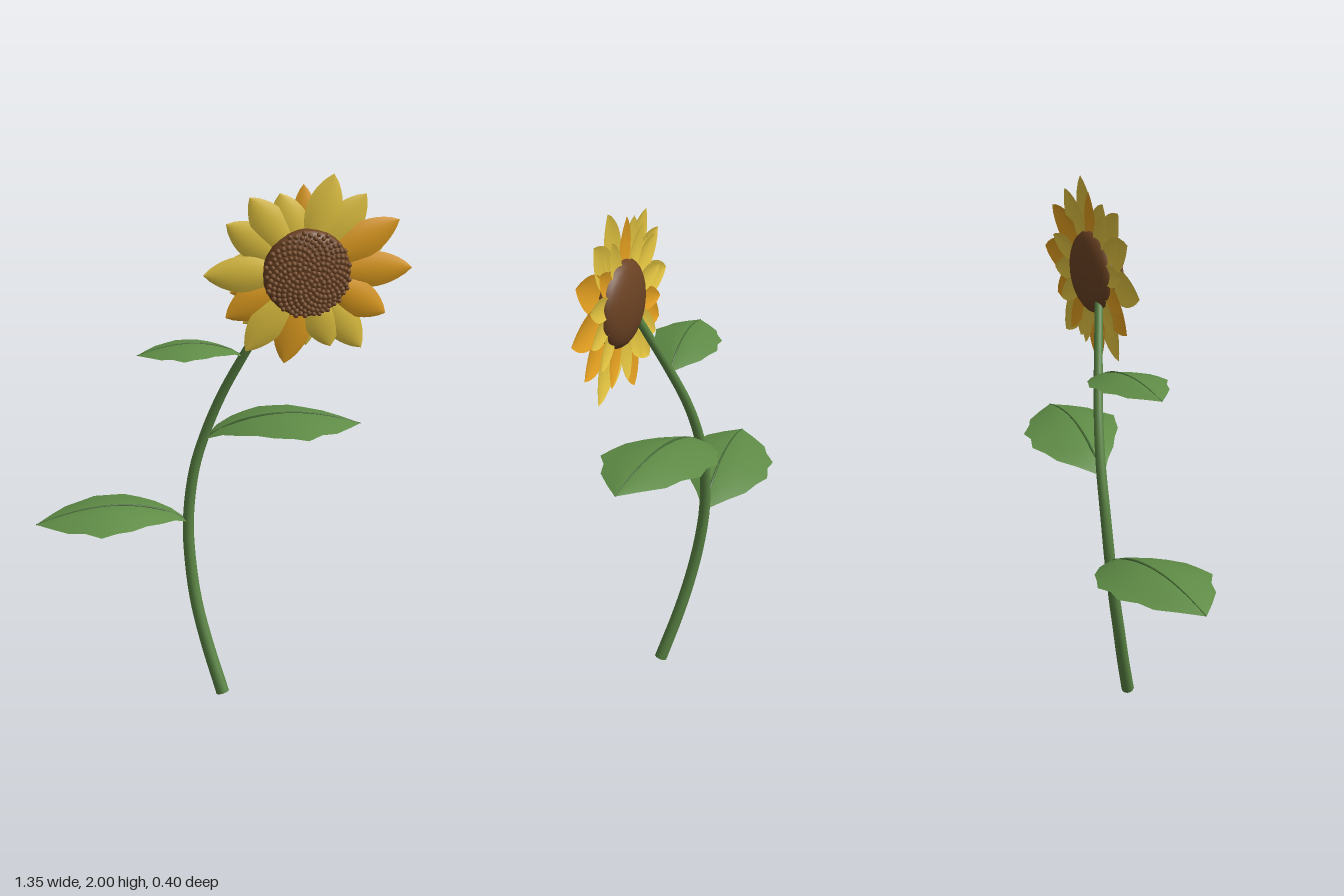
import * as THREE from 'three';
import { mergeGeometries } from 'three/addons/utils/BufferGeometryUtils.js';

const mat = (name, color, side = THREE.FrontSide) => {
  const m = new THREE.MeshStandardMaterial({ color, side });
  m.name = name;
  return m;
};

// Smooth sheet from a rule point(u, v): u runs 0..1 along, v runs -1..1 across
function sheet(nu, nv, point) {
  const pos = [], idx = [];
  for (let i = 0; i <= nu; i++)
    for (let j = 0; j <= nv; j++) pos.push(...point(i / nu, (j / nv) * 2 - 1));
  for (let i = 0; i < nu; i++)
    for (let j = 0; j < nv; j++) {
      const a = i * (nv + 1) + j, b = a + nv + 1;
      idx.push(a, b, a + 1, b, b + 1, a + 1);
    }
  const g = new THREE.BufferGeometry();
  g.setAttribute('position', new THREE.Float32BufferAttribute(pos, 3));
  g.setIndex(idx);
  g.computeVertexNormals();
  return g;
}

// Tube that narrows from r0 to r1
function taperedTube(curve, segs, sides, r0, r1) {
  const g = new THREE.TubeGeometry(curve, segs, 1, sides);
  const p = g.attributes.position, v = new THREE.Vector3();
  for (let i = 0; i < p.count; i++) {
    const u = Math.floor(i / (sides + 1)) / segs, c = curve.getPointAt(u);
    v.fromBufferAttribute(p, i).sub(c).multiplyScalar(r0 + (r1 - r0) * u).add(c);
    p.setXYZ(i, v.x, v.y, v.z);
  }
  return g;
}

const lerpList = (list, u) => {
  const f = u * (list.length - 1), i = Math.min(Math.floor(f), list.length - 2);
  return list[i] + (list[i + 1] - list[i]) * (f - i);
};

export function createModel() {
  const model = new THREE.Group();
  const stemGreen = mat('stem green', 0x5a8444);
  const leafGreen = mat('leaf green', 0x5f8c46, THREE.DoubleSide);
  const veinGreen = mat('vein green', 0x456a35);
  const yellow = mat('petal yellow', 0xe2c340, THREE.DoubleSide);
  const orange = mat('petal orange', 0xe39f20, THREE.DoubleSide);
  const brown = mat('disc brown', 0x6b4223);
  const seedBrown = mat('seed brown', 0x764a27);
  const add = (parent, name, geo, material) => {
    const m = new THREE.Mesh(geo, material);
    m.name = name;
    parent.add(m);
    return m;
  };

  // Curved, tapering stem with a closed foot
  const stemCurve = new THREE.CatmullRomCurve3([
    [0.003, 0.008, 0.108], [-0.05, 0.2, 0.055], [-0.085, 0.36, 0.018], [-0.103, 0.52, -0.012],
    [-0.107, 0.68, -0.032], [-0.083, 0.88, -0.04], [-0.037, 1.04, -0.033], [0.02, 1.19, -0.012],
    [0.095, 1.35, 0.026], [0.17, 1.5, 0.067], [0.208, 1.575, 0.088],
  ].map(p => new THREE.Vector3(...p)));
  add(model, 'stem', taperedTube(stemCurve, 48, 12, 0.025, 0.015), stemGreen);
  const foot = add(model, 'stemFoot', new THREE.CircleGeometry(0.025, 12), stemGreen);
  foot.position.copy(stemCurve.getPointAt(0));
  foot.quaternion.setFromUnitVectors(new THREE.Vector3(0, 0, 1), stemCurve.getTangentAt(0).negate());

  // Arched leaves with a toothed outline and a thin midrib
  const backWidth = [0.01, 0.08, 0.137, 0.165, 0.197, 0.183, 0.192, 0.15, 0.127, 0.065, 0];
  const frontWidth = [0.01, 0.05, 0.095, 0.125, 0.162, 0.175, 0.192, 0.145, 0.122, 0.065, 0];
  const rise = [0, 0.038, 0.06, 0.077, 0.088, 0.094, 0.094, 0.089, 0.08, 0.067, 0.05];
  function leaf(name, base, dir, size) {
    const group = new THREE.Group();
    group.name = name;
    const point = (u, v) => {
      const w = lerpList(v < 0 ? backWidth : frontWidth, u);
      return [dir * 0.57 * u, lerpList(rise, u) - 0.2 * w * Math.pow(Math.abs(v), 1.4), 0.067 * u + v * w];
    };
    add(group, 'leafBlade', sheet(10, 6, (u, v) => point(u, v * dir)), leafGreen);
    const rib = new THREE.CatmullRomCurve3([0, 0.2, 0.4, 0.6, 0.8, 1].map(u => new THREE.Vector3(...point(u, 0))));
    add(group, 'leafMidrib', taperedTube(rib, 16, 6, 0.006, 0.002), veinGreen);
    group.position.set(...base);
    group.scale.setScalar(size);
    model.add(group);
  }
  leaf('lowerLeaf', [-0.107, 0.68, -0.032], -1, 1);
  leaf('middleLeaf', [-0.043, 1.01, -0.032], 1, 1);
  leaf('upperLeaf', [0.09, 1.337, 0.022], -1, 0.68);

  // Flower head
  const head = new THREE.Group();
  head.name = 'flowerHead';
  head.position.set(0.293, 1.66, 0.11);
  model.add(head);

  // Domed centre: rounded back, fuller front
  const R = 0.155;
  const dome = r => 0.07 * Math.pow(Math.max(0, 1 - (r / 0.158) ** 2), 0.35);
  const profile = [];
  for (let i = 0; i <= 8; i++) {
    const a = (i / 8) * Math.PI / 2;
    profile.push(new THREE.Vector2(R * Math.sin(a), -0.06 * Math.cos(a)));
  }
  for (let i = 7; i >= 0; i--) {
    const r = R * Math.sin((i / 8) * Math.PI / 2);
    profile.push(new THREE.Vector2(r, dome(r) - 0.006));
  }
  add(head, 'flowerDisc', new THREE.LatheGeometry(profile, 28).rotateX(Math.PI / 2), brown);

  // Seeds in a sunflower spiral
  const seeds = [], count = 230;
  for (let i = 0; i < count; i++) {
    const r = 0.15 * Math.sqrt((i + 0.5) / count), a = i * 2.39996;
    const s = 0.0085 + 0.0015 * (i % 3) / 2;
    seeds.push(new THREE.SphereGeometry(s, 7, 5)
      .translate(r * Math.cos(a), r * Math.sin(a), dome(r) + 0.001));
  }
  add(head, 'seeds', mergeGeometries(seeds), seedBrown);

  // Petals: pointed, slightly cupped blades
  function petal(name, degrees, length, width, z, material) {
    const start = 0.09;
    const g = sheet(12, 6, (u, v) => {
      const t = 0.12 + 0.88 * u;
      const w = width * Math.pow(Math.max(0, Math.sin(Math.PI * Math.pow(t, 1.15))), 0.8);
      return [start + (length - start) * u, v * w, 0.006 * Math.sin(Math.PI * u) - 0.012 * u * u - 0.2 * w * v * v];
    });
    const m = add(head, name, g, material);
    m.rotation.z = THREE.MathUtils.degToRad(degrees);
    m.position.z = z;
  }
  // angle, length, 1 for orange
  [
    [0, 0.381, 1], [28, 0.37, 1], [52, 0.337, 0], [75, 0.35, 0], [109, 0.292, 0], [127, 0.333, 0],
    [148, 0.33, 0], [180, 0.36, 0], [209, 0.322, 1], [233, 0.35, 0], [258, 0.34, 1], [289, 0.29, 0],
    [306, 0.354, 0], [331, 0.331, 1],
  ].forEach(([a, len, o], i) => petal('outerPetal', a, len, 0.064, (i % 2) * 0.006, o ? orange : yellow));
  for (let i = 0; i < 14; i++)
    petal('backPetal', 92 + i * 360 / 14, i ? 0.262 + 0.012 * (i % 3) : 0.302, 0.042,
      -0.013 - (i % 2) * 0.003, i % 4 === 0 ? orange : yellow);

  return model;
}
